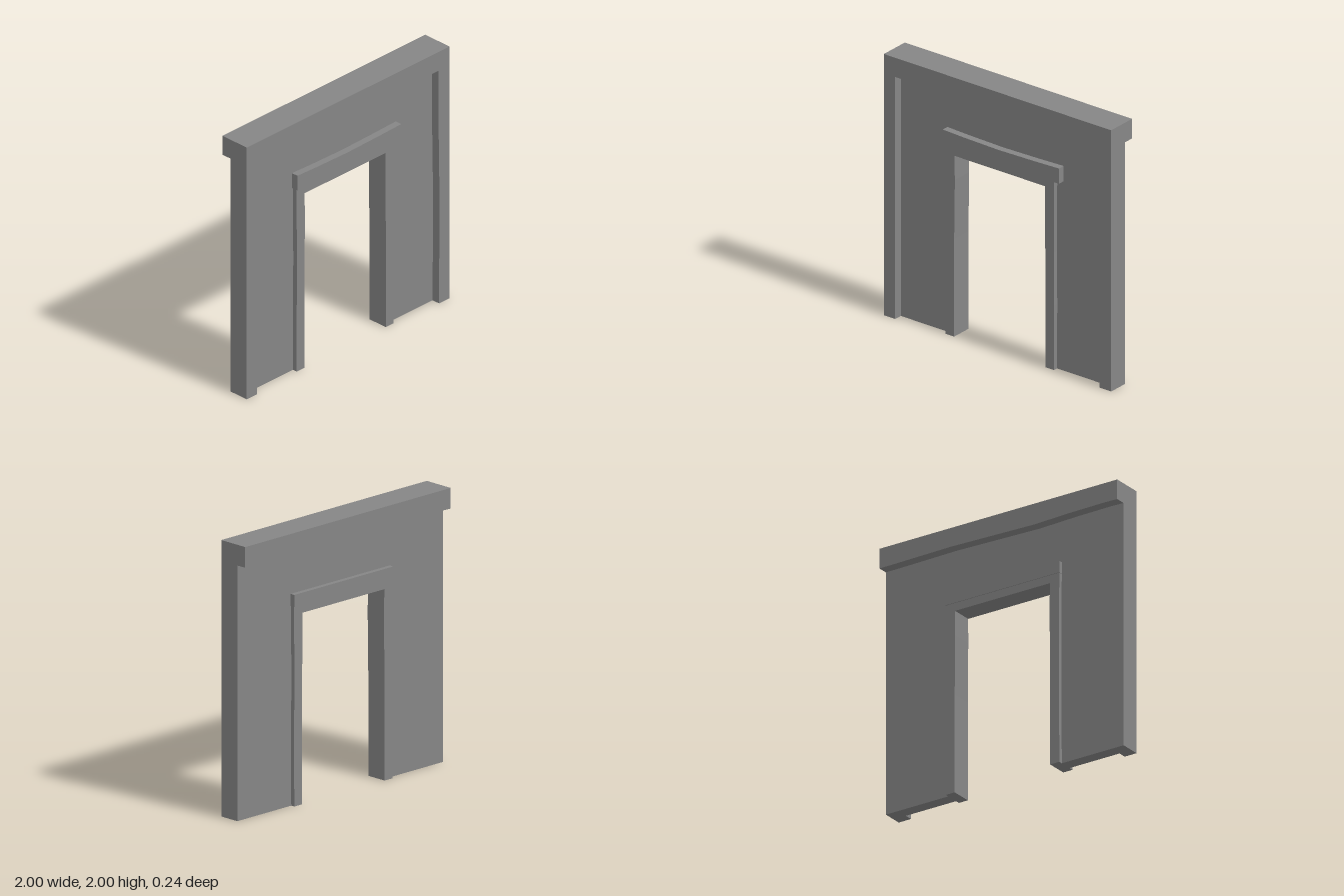
import * as THREE from 'three';

const material = new THREE.MeshStandardMaterial({ color: 0x868686, flatShading: true });

// Extrude an outline from z = back to z = front
function slab(name, points, back, front) {
  const shape = new THREE.Shape(points.map(([x, y]) => new THREE.Vector2(x, y)));
  const geometry = new THREE.ExtrudeGeometry(shape, { depth: front - back, bevelEnabled: false });
  geometry.translate(0, 0, back);
  const mesh = new THREE.Mesh(geometry, material);
  mesh.name = name;
  return mesh;
}

// Portal outline: outer rectangle plus the inner edge, listed from right foot to left foot
const portal = (halfWidth, top, inner) => [
  [-halfWidth, 0], ...[...inner].reverse(), [halfWidth, 0], [halfWidth, top], [-halfWidth, top],
];

export function createModel() {
  const group = new THREE.Group();
  group.name = 'doorway';

  // Slightly uneven hand-cut edges
  const corniceEdge = [[0.892, 1.85], [0.4, 1.857], [0.1, 1.85], [-0.3, 1.841], [-0.6, 1.85], [-0.9, 1.853]];
  const borderEdge = [[0.897, 0], [0.9, 0.9], [0.89, 1.5], ...corniceEdge, [-0.9, 0]];
  const openingEdge = [
    [0.4, 0], [0.4, 0.75], [0.396, 1.2], [0.397, 1.385],
    [-0.402, 1.385], [-0.397, 1.2], [-0.403, 0.75], [-0.403, 0],
  ];

  // Wall behind the raised border, with the doorway cut out
  const wallEdge = [[0.44, 0], [0.44, 1.42], [-0.44, 1.42], [-0.44, 0]];
  group.add(slab('wall', portal(1, 2, wallEdge), -0.04, 0.055));

  // Raised border on the front: two side strips and the top band
  group.add(slab('frontBorder', portal(1, 2, borderEdge), 0.055, 0.118));

  // Cornice overhanging the back
  group.add(slab('rearCornice', [[-1, 2], [-1, 1.85], ...[...corniceEdge].reverse(), [1, 1.85], [1, 2]], -0.118, -0.04));

  // Door frame projecting from both faces of the wall
  const frame = [
    [-0.48, 0], ...[...openingEdge].reverse(), [0.475, 0],
    [0.477, 0.5], [0.474, 0.9], [0.477, 1.455], [-0.48, 1.455], [-0.477, 0.9],
  ];
  group.add(slab('doorFrame', frame, -0.07, 0.09));

  // Sagging lintel on the front
  const lintel = [
    [-0.49, 1.45], [-0.3, 1.442], [0, 1.436], [0.3, 1.442], [0.533, 1.45],
    [0.533, 1.567], [0.3, 1.56], [0, 1.554], [-0.3, 1.56], [-0.49, 1.567],
  ];
  group.add(slab('frontLintel', lintel, 0.05, 0.108));

  // Flat lintel strip on the back
  group.add(slab('rearLintel', [[-0.483, 1.445], [0.48, 1.445], [0.48, 1.533], [-0.483, 1.533]], -0.075, -0.03));

  return group;
}
